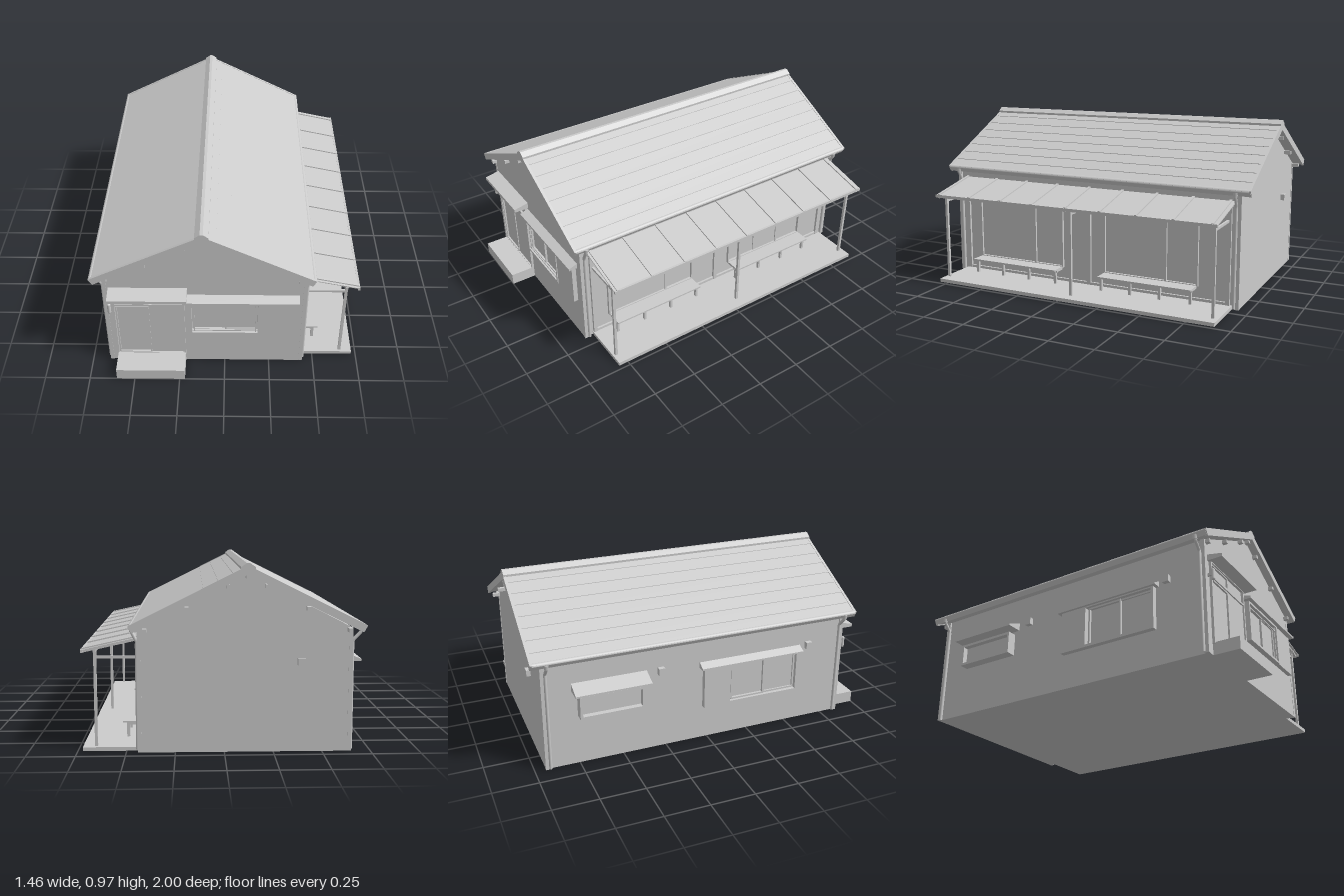
import * as THREE from 'three';

const mat = new THREE.MeshStandardMaterial({ color: 0xcccccc, flatShading: true });
const smooth = new THREE.MeshStandardMaterial({ color: 0xcccccc });
const thin = new THREE.MeshStandardMaterial({ color: 0xcccccc, side: THREE.DoubleSide });

// House limits: side walls, gable walls, ridge line
const L = -0.64, R = 0.43, F = 0.855, B = -0.94, RIDGE = -0.115;

export function createModel() {
  const root = new THREE.Group();

  const add = (name, geo, material = mat, parent = root) => {
    const m = new THREE.Mesh(geo, material);
    m.name = name;
    parent.add(m);
    return m;
  };
  // Box given by its limits on each axis
  const box = (name, x0, x1, y0, y1, z0, z1, parent = root) => {
    const m = add(name, new THREE.BoxGeometry(x1 - x0, y1 - y0, z1 - z0), mat, parent);
    m.position.set((x0 + x1) / 2, (y0 + y1) / 2, (z0 + z1) / 2);
    return m;
  };
  // Outline in x,y pushed along z
  const prism = (name, pts, z0, z1, parent = root) => {
    const shape = new THREE.Shape(pts.map(p => new THREE.Vector2(p[0], p[1])));
    const m = add(name, new THREE.ExtrudeGeometry(shape, { depth: z1 - z0, bevelEnabled: false }), mat, parent);
    m.position.z = z0;
    return m;
  };
  // Wall-mounted group: local x runs along the wall, local z points out of it
  const onWall = (name, x, z, turn) => {
    const g = new THREE.Group();
    g.name = name;
    g.position.set(x, 0, z);
    g.rotation.y = turn;
    root.add(g);
    return g;
  };
  // Four bars around an opening
  const frame = (g, name, x0, x1, y0, y1, z1, t = 0.012) => {
    box(name, x0, x0 + t, y0, y1, -0.005, z1, g);
    box(name, x1 - t, x1, y0, y1, -0.005, z1, g);
    box(name, x0 + t, x1 - t, y0, y0 + t, -0.005, z1, g);
    box(name, x0 + t, x1 - t, y1 - t, y1, -0.005, z1, g);
  };
  // Sloping canopy whose outline is drawn in depth and height
  const canopy = (g, name, x0, x1, yTop, drop, depth, t = 0.012) => {
    const s = new THREE.Shape();
    s.moveTo(0, yTop); s.lineTo(depth, yTop - drop);
    s.lineTo(depth, yTop - drop - t); s.lineTo(0, yTop - drop - t);
    const geo = new THREE.ExtrudeGeometry(s, { depth: x1 - x0, bevelEnabled: false });
    geo.rotateY(-Math.PI / 2);
    add(name, geo, mat, g).position.x = x1;
  };

  // Body with gabled ends
  prism('houseBody', [[L, 0], [R, 0], [R, 0.642], [RIDGE, 0.912], [L, 0.642]], B, F);
  for (const x of [L, R]) for (const z of [F - 0.01, B + 0.01])
    box('cornerPost', x - 0.01, x + 0.01, 0, 0.64, z - 0.012, z + 0.012);

  // Roof slopes with shallow stepped courses
  const courses = 8, run = 0.595;
  for (const s of [-1, 1]) {
    const pts = [[0, 0.915], [0, 0.95]];
    for (let i = 1; i <= courses; i++) {
      const d = run * i / courses, y = 0.95 - 0.5 * d;
      pts.push([d, y + 0.003], [d, y]);
    }
    pts.push([0.58, 0.625]);
    const out = pts.map(([d, y]) => [RIDGE + s * d, y]);
    prism('roofSlope', s > 0 ? out.reverse() : out, -0.995, 0.895);

    // Edge boards on both gables
    for (const [z0, z1] of [[-1, -0.985], [0.885, 0.9]])
      prism('bargeBoard', [[0, 0.91], [0, 0.954], [0.595, 0.657], [0.575, 0.622]]
        .map(([d, y]) => [RIDGE + s * d, y]), z0, z1);

    // Half-round gutter
    const gx = RIDGE + s * 0.582;
    const gutter = add('gutter', new THREE.CylinderGeometry(0.015, 0.015, 1.88, 10, 1, true, 0, Math.PI), thin);
    gutter.rotation.set(Math.PI / 2, Math.PI / 2, 0, 'YXZ');
    gutter.geometry.rotateY(-Math.PI / 2);
    gutter.rotation.set(Math.PI / 2, 0, 0);
    gutter.geometry.rotateY(Math.PI);
    gutter.position.set(gx, 0.648, -0.05);
    // Downpipes run back to the wall, then to the ground
    const wx = (s > 0 ? R : L) + s * 0.012;
    for (const z of [0.83, -0.915]) {
      const path = new THREE.CurvePath();
      const p = [[gx, 0.645], [gx, 0.618], [wx, 0.57], [wx, 0.005]].map(([x, y]) => new THREE.Vector3(x, y, z));
      for (let i = 0; i < 3; i++) path.add(new THREE.LineCurve3(p[i], p[i + 1]));
      add('downpipe', new THREE.TubeGeometry(path, 40, 0.009, 8), smooth);
      const cup = add('gutterOutlet', new THREE.CylinderGeometry(0.015, 0.011, 0.025, 8), smooth);
      cup.position.set(gx, 0.63, z);
    }
  }
  prism('ridgeCap', [[-0.036, 0.934], [0.036, 0.934], [0.036, 0.946], [0.008, 0.966], [-0.008, 0.966], [-0.036, 0.946]]
    .map(([d, y]) => [RIDGE + d, y]), -1, 0.9);

  // Purlin ends under the overhangs
  for (const [d, y] of [[0, 0.9], [0.098, 0.85], [0.305, 0.738], [0.515, 0.629]])
    for (const s of d ? [-1, 1] : [1])
      for (const [z0, z1] of [[F - 0.01, 0.882], [-0.982, B + 0.01]])
        box('purlinEnd', RIDGE + s * d - 0.01, RIDGE + s * d + 0.01, y - 0.01, y + 0.01, z0, z1);

  // Front entrance
  box('entranceStep', -0.6, -0.22, 0, 0.068, F - 0.01, 1);
  const front = onWall('frontFittings', 0, F, 0);
  frame(front, 'doorFrame', -0.605, -0.218, 0.06, 0.53, 0.014, 0.01);
  box('slidingDoor', -0.41, -0.228, 0.07, 0.435, 0, 0.005, front);
  frame(front, 'slidingDoor', -0.592, -0.41, 0.068, 0.43, 0.01, 0.008);
  frame(front, 'transom', -0.592, -0.41, 0.447, 0.515, 0.01, 0.006);
  box('doorRail', -0.595, -0.228, 0.436, 0.446, 0, 0.012, front);
  canopy(front, 'doorCanopy', -0.62, -0.2, 0.56, 0.018, 0.085, 0.018);
  const lamp = add('wallLamp', new THREE.CapsuleGeometry(0.01, 0.05, 4, 10), smooth, front);
  lamp.position.set(-0.62, 0.435, 0.03);
  box('lampArm', -0.625, -0.615, 0.43, 0.445, 0, 0.03, front);

  // Front window and shutter case
  frame(front, 'windowFrame', -0.19, 0.192, 0.242, 0.48, 0.03, 0.012);
  frame(front, 'windowSash', -0.172, 0.01, 0.256, 0.464, 0.012, 0.008);
  frame(front, 'windowSash', 0.002, 0.176, 0.256, 0.464, 0.008, 0.008);
  for (const y of [0.262, 0.452]) box('windowGuardRail', -0.178, 0.18, y - 0.003, y + 0.003, 0.015, 0.022, front);
  for (const x of [-0.165, 0.17]) box('windowGuardPost', x - 0.003, x + 0.003, 0.254, 0.468, 0.015, 0.022, front);
  box('shutterCase', 0.192, 0.38, 0.242, 0.48, -0.005, 0.025, front);
  canopy(front, 'windowCanopy', -0.21, 0.4, 0.513, 0.018, 0.05, 0.012);

  // Windows of the closed side wall (local x equals world z here)
  const left = onWall('leftFittings', L, 0, -Math.PI / 2);
  frame(left, 'smallWindow', -0.75, -0.39, 0.29, 0.42, 0.055, 0.014);
  box('smallWindowPane', -0.74, -0.4, 0.3, 0.41, 0, 0.025, left);
  canopy(left, 'smallWindowCanopy', -0.78, -0.36, 0.485, 0.035, 0.09, 0.01);
  frame(left, 'largeWindow', -0.03, 0.56, 0.2, 0.45, 0.03, 0.014);
  box('shutterCase', -0.03, 0.13, 0.2, 0.45, 0, 0.03, left);
  frame(left, 'windowSash', 0.14, 0.35, 0.214, 0.436, 0.014, 0.01);
  frame(left, 'windowSash', 0.34, 0.546, 0.214, 0.436, 0.009, 0.01);
  canopy(left, 'largeWindowCanopy', -0.05, 0.58, 0.475, 0.022, 0.045, 0.01);
  for (const z of [-0.28, 0.63]) box('wallVent', z - 0.018, z + 0.018, 0.45, 0.49, 0, 0.025, left);
  box('wallVent', -0.41, -0.37, 0.45, 0.485, B - 0.024, B + 0.005);

  // Glazed bays and benches of the porch wall (local x equals minus world z)
  const right = onWall('porchWall', R, 0, Math.PI / 2);
  box('sill', -0.8, 0.89, 0.02, 0.035, 0, 0.012, right);
  for (const z of [0.79, -0.045, -0.88]) box('wallPost', -z - 0.011, -z + 0.011, 0.02, 0.56, 0, 0.014, right);
  const bays = [[0.7, 0.125, 0.315], [-0.14, -0.71, -0.52]];
  for (const [z0, z1, split] of bays) {
    frame(right, 'bayFrame', -z0, -z1, 0.1, 0.515, 0.015, 0.01);
    box('bayMullion', -split - 0.006, -split + 0.006, 0.11, 0.505, 0, 0.012, right);
    box('shutterPanel', z0 > 0 ? -z0 + 0.012 : -split - 0.18, z0 > 0 ? -split : -split, 0.112, 0.503, 0, 0.006, right);
    canopy(right, 'bayCanopy', -z0 - 0.02, -z1 + 0.02, 0.535, 0.015, 0.028, 0.01);
    const hi = z0 - 0.005, lo = z1 + 0.005;
    box('benchSeat', -hi, -lo, 0.097, 0.106, 0, 0.105, right);
    box('benchApron', -hi, -lo, 0.085, 0.097, 0.068, 0.078, right);
    for (let i = 0; i < 4; i++) {
      const c = -hi + 0.012 + (hi - lo - 0.024) * i / 3;
      box('benchLeg', c - 0.007, c + 0.007, 0.02, 0.097, 0.068, 0.084, right);
      box('benchBearer', c - 0.006, c + 0.006, 0.085, 0.097, 0, 0.07, right);
    }
  }

  // Porch floor, posts, beams and roof
  const P0 = -0.895, P1 = 0.805;
  box('porchFloor', R - 0.01, 0.725, 0, 0.02, P0 - 0.01, P1);
  for (const z of [0.785, -0.045, -0.875]) {
    box('porchPost', 0.65, 0.665, 0.02, 0.53, z - 0.0075, z + 0.0075);
    box('porchTie', R, 0.65, 0.477, 0.49, z - 0.006, z + 0.006);
  }
  box('porchBeam', 0.65, 0.665, 0.512, 0.526, P0, P1);
  box('porchLedger', R, 0.445, 0.56, 0.578, P0, P1);
  const strip = (y, t) => [[R, 0.585 + y], [0.725, 0.52 + y], [0.725, 0.52 + y + t], [R, 0.585 + y + t]];
  prism('porchRoof', strip(0, 0.005), P0 - 0.015, P1 + 0.005);
  for (let i = 0; i < 9; i++) {
    const z = 0.79 - i * 0.209;
    prism('porchRafter', strip(-0.012, 0.024), z - 0.007, z + 0.007);
  }
  box('porchEdgeStrip', 0.715, 0.727, 0.511, 0.528, P0 - 0.015, P1 + 0.005);

  return root;
}
